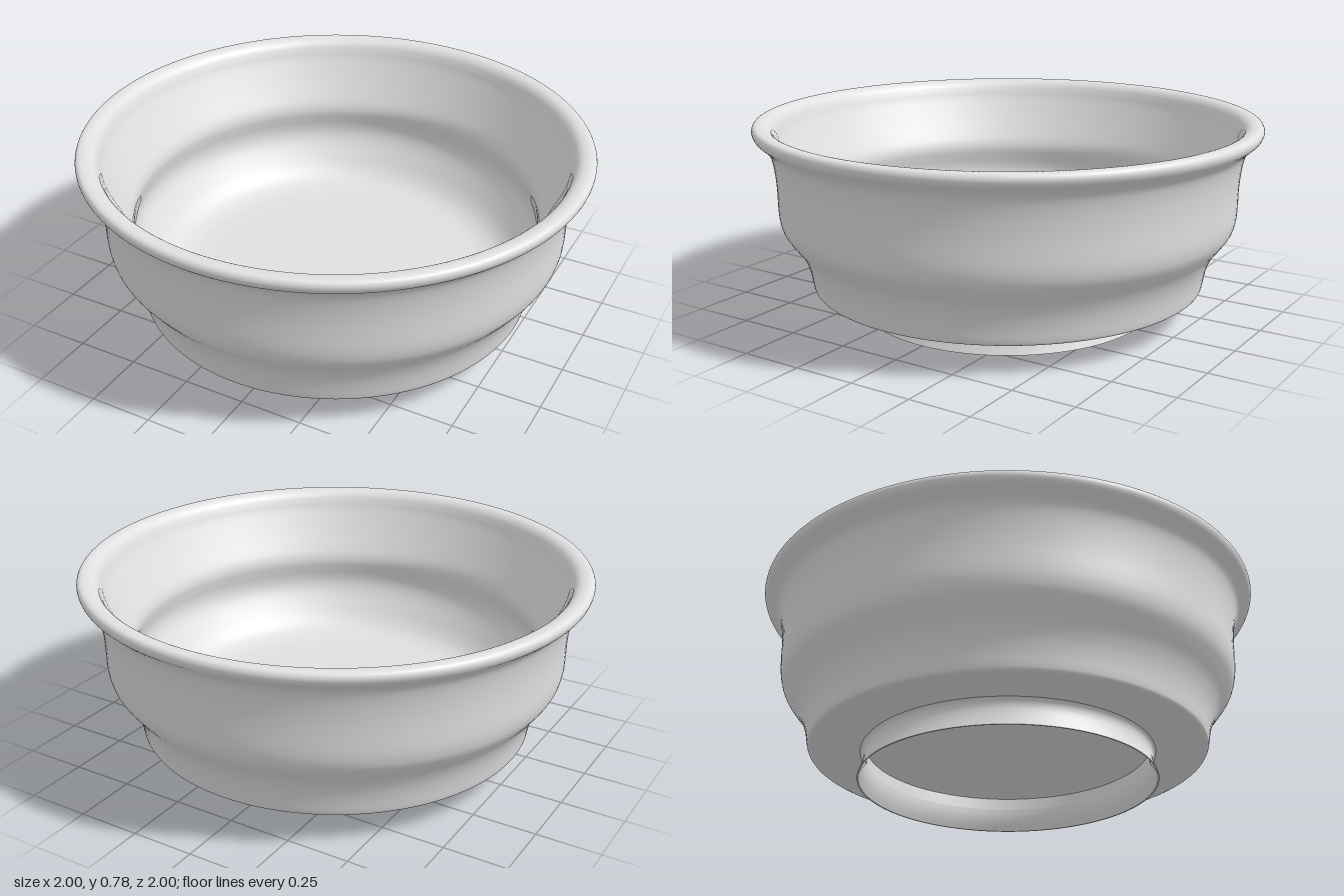
import * as THREE from 'three';

// Lathe through the given [radius, height] points, curved or straight between them
function turned(name, points, material, smooth = true) {
  let profile = points.map(([r, y]) => new THREE.Vector2(r, y));
  if (smooth) {
    profile = new THREE.SplineCurve(profile).getPoints(points.length * 4);
    profile.forEach((p) => { p.x = Math.max(p.x, 0); });
  }
  const mesh = new THREE.Mesh(new THREE.LatheGeometry(profile, 128), material);
  mesh.name = name;
  return mesh;
}

export function createModel() {
  const group = new THREE.Group();
  group.name = 'bowl';
  const clay = new THREE.MeshStandardMaterial({ color: 0xe0e0e0 });
  clay.name = 'light grey';

  // Recessed underside inside the foot
  group.add(turned('recess', [[0, 0.14], [0.562, 0.14]], clay, false));

  // Thin flared foot ring: straight upper inside, flared inside, bottom edge, outside
  group.add(turned('footInsideTop', [[0.562, 0.14], [0.56, 0.09]], clay, false));
  group.add(turned('footInside', [[0.56, 0.09], [0.563, 0.06], [0.571, 0.03], [0.584, 0]], clay));
  group.add(turned('footEdge', [[0.584, 0], [0.59, 0]], clay, false));
  group.add(turned('footOutside', [[0.59, 0], [0.577, 0.035], [0.569, 0.07], [0.571, 0.095], [0.582, 0.11]], clay));

  // Flat base around the foot
  group.add(turned('base', [[0.57, 0.11], [0.77, 0.11]], clay, false));

  // Stepped outer wall and rolled rim, then the tapered inner wall with a soft undercut
  group.add(turned('wall', [
    [0.77, 0.11], [0.784, 0.117], [0.79, 0.135], [0.798, 0.18], [0.812, 0.23], [0.836, 0.28],
    [0.87, 0.325], [0.897, 0.365], [0.909, 0.405], [0.913, 0.45], [0.914, 0.52],
    [0.918, 0.58], [0.927, 0.64], [0.942, 0.685], [0.97, 0.715], [0.992, 0.735],
    [1, 0.757], [0.992, 0.775], [0.972, 0.78], [0.945, 0.775], [0.925, 0.759],
    [0.912, 0.733], [0.9, 0.7], [0.874, 0.645], [0.848, 0.593], [0.823, 0.545],
    [0.806, 0.508], [0.8, 0.475], [0.805, 0.44], [0.811, 0.405], [0.81, 0.37],
    [0.796, 0.33], [0.763, 0.275], [0.725, 0.225], [0.68, 0.19], [0.62, 0.172],
    [0.54, 0.168], [0.3, 0.168], [0, 0.168],
  ], clay));

  return group;
}
